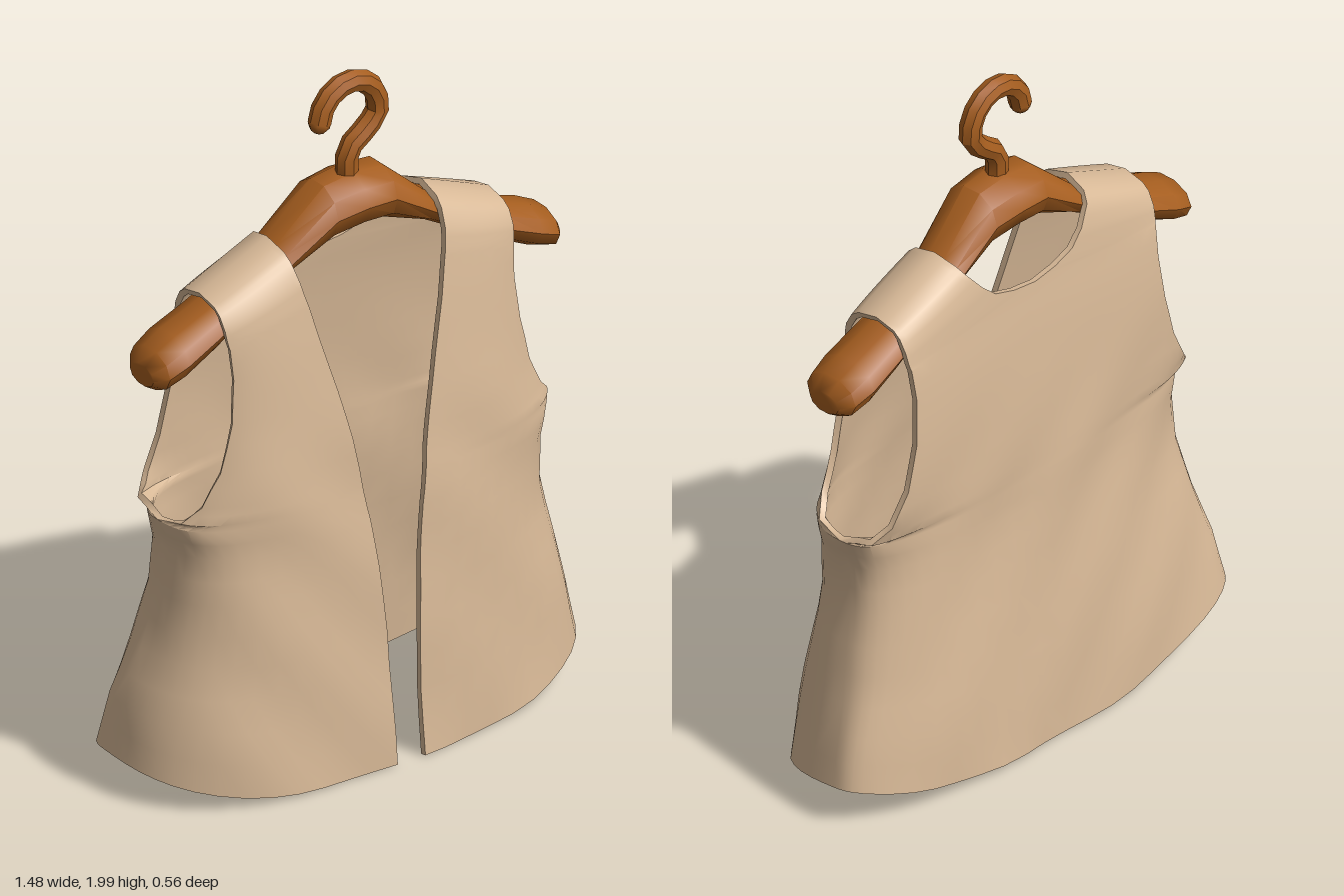
import * as THREE from 'three';
import { mergeVertices, toCreasedNormals } from 'three/addons/utils/BufferGeometryUtils.js';

const SEG = 14; // columns across each panel
const STEPS = 2; // grid rows between two pattern rows
const THICK = 0.018;
const POWER = 2.7; // squareness of the plan curve

// Pattern rows, hem to shoulder:
// y, front opening x, back inner x, outer x, front z, front edge z, back z, back edge z
const ROWS = [
  [0.00, 0.045, 0, 0.742, 0.272, -0.11, -0.268, -0.11],
  [0.20, 0.048, 0, 0.71, 0.257, -0.09, -0.255, -0.09],
  [0.40, 0.052, 0, 0.658, 0.243, -0.06, -0.235, -0.06],
  [0.60, 0.070, 0, 0.615, 0.228, -0.04, -0.213, -0.04],
  [0.74, 0.085, 0, 0.608, 0.216, -0.03, -0.20, -0.03],
  [0.83, 0.100, 0, 0.635, 0.207, -0.02, -0.197, -0.02],
  [0.85, 0.103, 0, 0.622, 0.205, 0.07, -0.196, -0.12],
  [0.90, 0.110, 0, 0.575, 0.20, 0.108, -0.194, -0.155],
  [1.00, 0.130, 0, 0.525, 0.19, 0.12, -0.188, -0.168],
  [1.15, 0.165, 0, 0.488, 0.168, 0.122, -0.177, -0.168],
  [1.30, 0.205, 0, 0.475, 0.146, 0.113, -0.163, -0.156],
  [1.41, 0.230, 0, 0.48, 0.126, 0.104, -0.148, -0.142],
  [1.42, 0.233, 0.08, 0.482, 0.124, 0.102, -0.146, -0.139],
  [1.44, 0.238, 0.15, 0.485, 0.119, 0.099, -0.142, -0.135],
  [1.48, 0.246, 0.195, 0.488, 0.108, 0.092, -0.135, -0.127],
  [1.53, 0.254, 0.237, 0.49, 0.08, 0.071, -0.116, -0.107],
  [1.555, 0.258, 0.252, 0.49, 0.052, 0.0455, -0.09, -0.0837],
  [1.575, 0.262, 0.262, 0.49, -0.02, -0.02, -0.02, -0.02],
];

// One point on a panel: side is +1 or -1, back picks the rear pattern
function panelPoint(row, u, side, back) {
  const [Y, xf, xb, xo, zf, ef, zb, eb] = row;
  const [xi, zc, ze] = back ? [xb, zb, eb] : [xf, zf, ef];
  // rounded-box plan curve from the centre towards the seam, cut short at the armhole
  const z0 = Math.min(-0.02, ef);
  const w0 = Math.abs(zc - z0) < 1e-6 ? 0.91 : (ze - z0) / (zc - z0);
  const q0 = (1 - w0 ** POWER) ** (1 / POWER);
  const a = THREE.MathUtils.lerp(Math.PI / 2, Math.atan2(w0, q0), u);
  const c = Math.max(0, Math.cos(a)), s = Math.sin(a);
  const r = (c ** POWER + s ** POWER) ** (-1 / POWER);
  const q = u === 0 ? 0 : r * c / q0;
  let x = side * (xi + (xo - xi) * q);
  let z = z0 + (zc - z0) * r * s;
  // curved hem, higher at the sides and back, and sloping shoulder
  const slope = Math.max(0, (Y - 0.83) / 0.75) ** 2;
  const out = Math.abs(x) / 0.74;
  const hem = 0.01 + 0.1 * out ** 2.5 - 0.08 * z * out;
  const y = Y + hem * Math.max(0, 1 - Y / 0.6) - 0.1 * slope * q;
  // soft folds, fading towards the shoulder
  const f = 0.009 * THREE.MathUtils.clamp((1.2 - Y) / 0.4, 0, 1);
  const X = x, Z = z;
  z += f * Math.sin(13 * X + 6 * y + 1) * Math.cos(8 * y + 3 * X);
  x += 0.4 * f * Math.sin(17 * y + 11 * Z) * Math.min(1, Math.abs(X) * 2);
  return [x, y, z];
}

// All four panels welded into one sheet, then given an inside and rims
function vestGeometry() {
  const rows = [];
  ROWS.forEach((row, k) => {
    if (k === 0) return rows.push(row);
    for (let s = 1; s <= STEPS; s++) {
      rows.push(row.map((v, i) => THREE.MathUtils.lerp(ROWS[k - 1][i], v, s / STEPS)));
    }
  });
  const pos = [], index = [];
  for (const side of [1, -1]) for (const back of [false, true]) {
    const base = pos.length / 3;
    const flip = (side < 0) !== back;
    rows.forEach((row, j) => {
      for (let i = 0; i <= SEG; i++) pos.push(...panelPoint(row, i / SEG, side, back));
      if (j === 0) return;
      for (let i = 0; i < SEG; i++) {
        const a = base + (j - 1) * (SEG + 1) + i, b = a + 1, d = a + SEG + 1, c = d + 1;
        index.push(...(flip ? [a, c, b, a, d, c] : [a, b, c, a, c, d]));
      }
    });
  }
  let sheet = new THREE.BufferGeometry();
  sheet.setAttribute('position', new THREE.Float32BufferAttribute(pos, 3));
  sheet.setIndex(index);
  sheet = mergeVertices(sheet, 1e-4);
  sheet.computeVertexNormals();

  const P = sheet.attributes.position, N = sheet.attributes.normal, n = P.count;
  const tri = Array.from(sheet.index.array);
  const outer = Array.from(P.array);
  const inner = outer.map((v, i) => v - N.array[i] * THICK);
  const faces = [...tri], edges = new Set();
  for (let t = 0; t < tri.length; t += 3) {
    const f = [tri[t], tri[t + 1], tri[t + 2]];
    faces.push(f[0] + n, f[2] + n, f[1] + n);
    for (let e = 0; e < 3; e++) edges.add(f[e] + '_' + f[(e + 1) % 3]);
  }
  // close every open edge with a rim
  for (const key of edges) {
    const [a, b] = key.split('_').map(Number);
    if (!edges.has(b + '_' + a)) faces.push(b, a, a + n, b, a + n, b + n);
  }
  const solid = new THREE.BufferGeometry();
  solid.setAttribute('position', new THREE.Float32BufferAttribute([...outer, ...inner], 3));
  solid.setIndex(faces);
  return toCreasedNormals(solid, 0.7);
}

// Ten-sided loft along x for the wooden bar
function barGeometry() {
  // x, top y, bottom y, half depth, centre z
  const half = [
    [0.10, 1.69, 1.53, 0.09, -0.007], [0.25, 1.555, 1.465, 0.08, -0.018], [0.36, 1.49, 1.40, 0.082, -0.02],
    [0.49, 1.435, 1.325, 0.09, -0.018], [0.60, 1.395, 1.27, 0.094, -0.017], [0.66, 1.365, 1.25, 0.085, -0.015],
    [0.688, 1.325, 1.265, 0.05, -0.015],
  ];
  const stations = [...half.map(([x, ...r]) => [-x, ...r]).reverse(), [0, 1.70, 1.54, 0.096, -0.007], ...half];
  const pos = [], index = [], S = 10, k = 1 / Math.cos(Math.PI / S);
  stations.forEach(([x, top, bottom, d, zc], j) => {
    for (let i = 0; i < S; i++) {
      const a = (i + 0.5) / S * Math.PI * 2;
      pos.push(x, (top + bottom) / 2 + Math.cos(a) * k * (top - bottom) / 2, zc + Math.sin(a) * k * d);
      if (j === 0) continue;
      const p = (j - 1) * S, m = (i + 1) % S;
      index.push(p + i, p + S + i, p + S + m, p + i, p + S + m, p + m);
    }
  });
  // end caps
  const last = (stations.length - 1) * S;
  for (let i = 1; i < S - 1; i++) index.push(0, i, i + 1, last, last + i + 1, last + i);
  // the ring runs from +y to +z, so sides and caps are turned to face outward
  for (let t = 0; t < index.length; t += 3) {
    const [a, b, c] = [0, 1, 2].map(v => new THREE.Vector3().fromArray(pos, index[t + v] * 3));
    const normal = b.clone().sub(a).cross(c.clone().sub(a));
    const js = [0, 1, 2].map(v => Math.floor(index[t + v] / S));
    const centre = js.reduce((sum, j) => sum.add(
      new THREE.Vector3(stations[j][0], (stations[j][1] + stations[j][2]) / 2, stations[j][4])), new THREE.Vector3());
    const away = a.clone().add(b).add(c).sub(centre);
    if (js[0] === js[1] && js[1] === js[2]) away.set(a.x, 0, 0);
    if (normal.dot(away) < 0) [index[t + 1], index[t + 2]] = [index[t + 2], index[t + 1]];
  }
  const g = new THREE.BufferGeometry();
  g.setAttribute('position', new THREE.Float32BufferAttribute(pos, 3));
  g.setIndex(index);
  return toCreasedNormals(g, 0.7);
}

export function createModel() {
  const model = new THREE.Group();
  const cloth = new THREE.MeshStandardMaterial({ color: 0xd8b997 });
  cloth.name = 'tan cloth';
  const wood = new THREE.MeshStandardMaterial({ color: 0xa65e1f });
  wood.name = 'brown wood';
  const add = (name, geometry, material, parent) => {
    const mesh = new THREE.Mesh(geometry, material);
    mesh.name = name;
    parent.add(mesh);
    return mesh;
  };

  add('vest', vestGeometry(), cloth, model);

  const hanger = new THREE.Group();
  hanger.name = 'hanger';
  model.add(hanger);
  add('hangerBar', barGeometry(), wood, hanger);

  // Hook: short stem, sideways bend, then an open ring
  const path = [new THREE.Vector3(-0.005, 1.66, 0), new THREE.Vector3(0, 1.76, 0), new THREE.Vector3(0.055, 1.805, 0)];
  for (let i = 0; i <= 8; i++) {
    const a = THREE.MathUtils.degToRad(-15 + i * 24);
    path.push(new THREE.Vector3(Math.cos(a) * 0.098, 1.87 + Math.sin(a) * 0.098, 0));
  }
  const curve = new THREE.CatmullRomCurve3(path);
  add('hook', toCreasedNormals(new THREE.TubeGeometry(curve, 14, 0.032, 8), 0.5), wood, hanger);
  add('hookTip', new THREE.SphereGeometry(0.032, 8, 6), wood, hanger).position.copy(path[path.length - 1]);
  return model;
}
